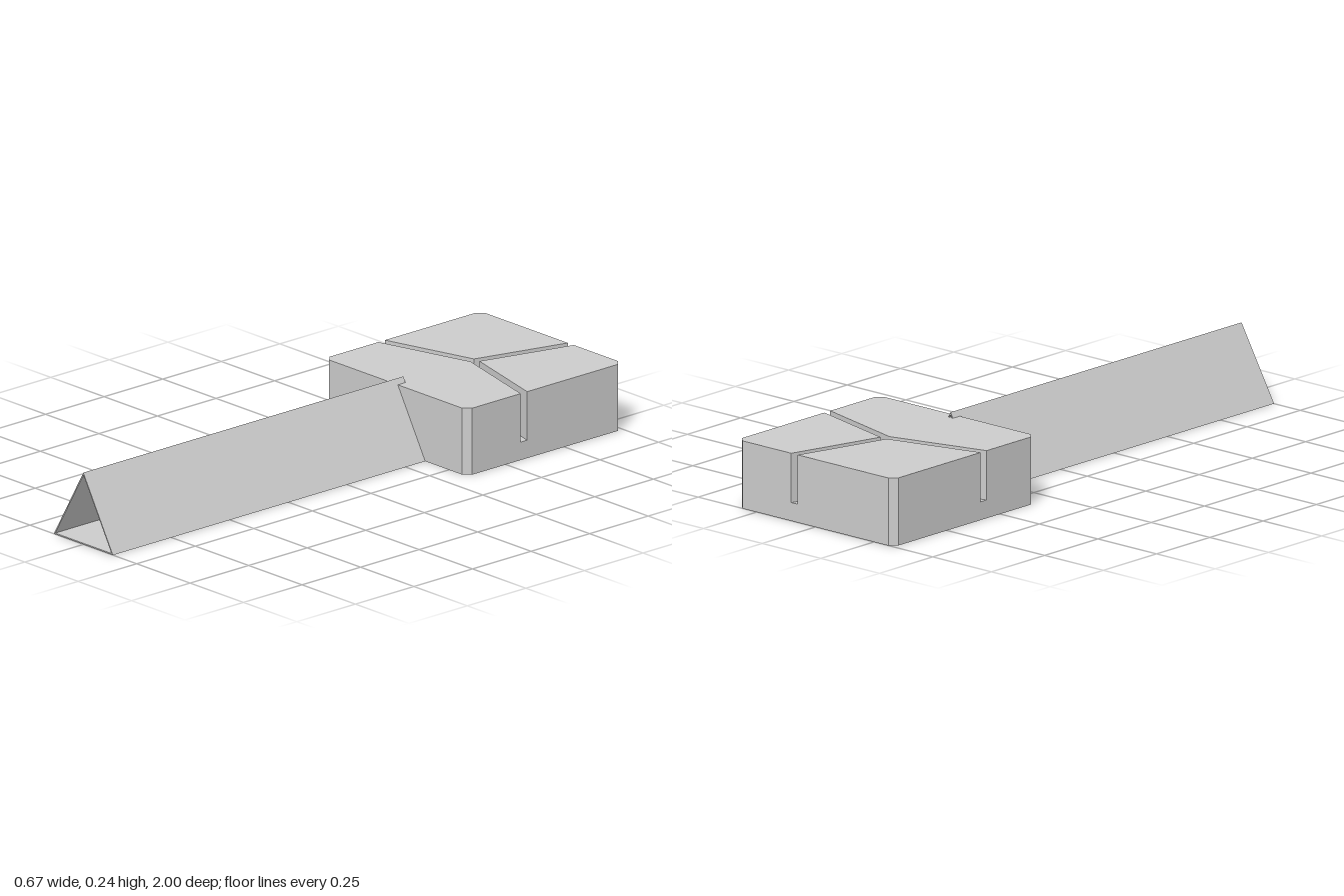
import * as THREE from 'three';

export function createModel() {
  const model = new THREE.Group();
  const grey = new THREE.MeshStandardMaterial({ color: 0xcccccc });

  // Block dimensions, in plan
  const H = 0.3333, C = 0.022, BACK = -1, FRONT = -0.3333;
  const TOP = 0.2222, FLOOR = 0.06;

  // Raises a plan outline of [x, z] points from y0 to y1
  function slab(name, points, y0, y1) {
    const shape = new THREE.Shape(points.map(([x, z]) => new THREE.Vector2(x, -z)));
    const geometry = new THREE.ExtrudeGeometry(shape, { depth: y1 - y0, bevelEnabled: false });
    geometry.rotateX(-Math.PI / 2).translate(0, y0, 0);
    const mesh = new THREE.Mesh(geometry, grey);
    mesh.name = name;
    model.add(mesh);
  }

  // Chamfered corners, each as a pair of points
  const frontLeft = [[H - C, FRONT], [H, FRONT - C]];
  const frontRight = [[-H, FRONT - C], [-H + C, FRONT]];
  const backLeft = [[H, BACK + C], [H - C, BACK]];
  const backRight = [[-H + C, BACK], [-H, BACK + C]];

  // Solid lower part, below the grooves
  slab('blockBase', [...frontRight, ...frontLeft, ...backLeft, ...backRight], 0, FLOOR);

  // Three upper pads, separated by a three-armed groove
  const mid = (BACK + FRONT) / 2;
  const w = 0.0133;                          // half groove width
  const slope = Math.tan(Math.PI / 12);      // arms are turned by 15 degrees
  const off = w / Math.cos(Math.PI / 12);
  const armZ = mid + H * slope;
  const armX = H * slope;
  slab('frontPad', [...frontRight, ...frontLeft,
    [H, armZ + off], [0, mid + off], [-H, armZ + off]], FLOOR, TOP);
  slab('backLeftPad', [[H, armZ - off], ...backLeft,
    [armX + off, BACK], [0.0163, mid - 0.0094]], FLOOR, TOP);
  slab('backRightPad', [[armX - off, BACK], ...backRight,
    [-H, armZ - off], [-0.0109, mid - 0.0109]], FLOOR, TOP);

  // Hollow triangular handle, its rear end sunk into the block
  const height = 0.24, wall = 0.004, root3 = Math.sqrt(3);
  const triangle = (inset) => [
    [-height / root3 + inset * root3, inset],
    [height / root3 - inset * root3, inset],
    [0, height - 2 * inset],
  ].map(([x, y]) => new THREE.Vector2(x, y));
  const section = new THREE.Shape(triangle(0));
  section.holes.push(new THREE.Path(triangle(wall).reverse()));
  const tube = new THREE.ExtrudeGeometry(section, { depth: 1.366, bevelEnabled: false });
  tube.translate(0, 0, -0.366);
  const handle = new THREE.Mesh(tube, grey);
  handle.name = 'triangularHandle';
  model.add(handle);

  return model;
}
